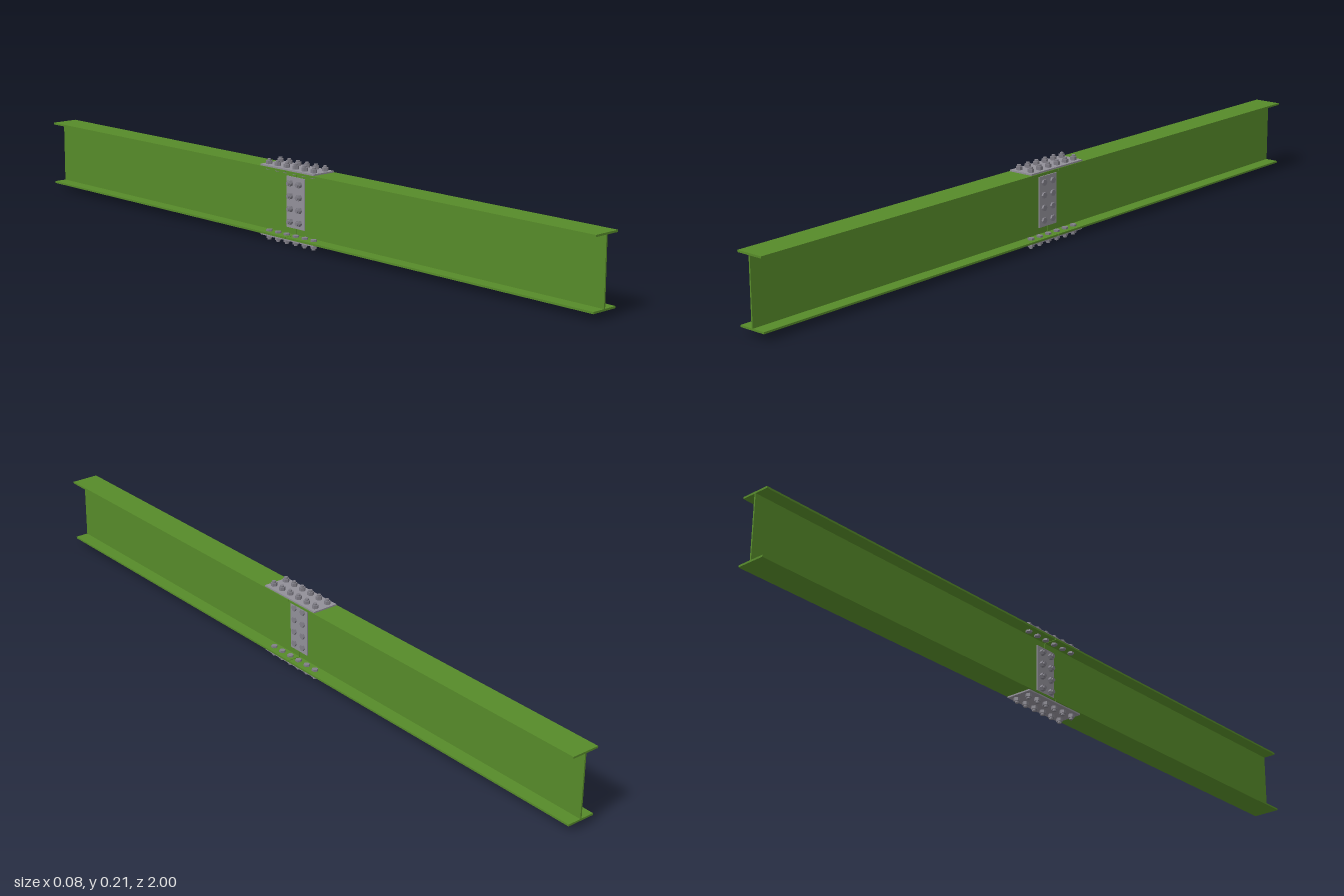
import * as THREE from 'three';

const green = new THREE.MeshStandardMaterial({ color: 0x568a29 });
const plateGrey = new THREE.MeshStandardMaterial({ color: 0x918f98 });
const boltGrey = new THREE.MeshStandardMaterial({ color: 0x807e87, flatShading: true });

const MID = 0.1065;      // height of the beam axis
const FLANGE_OUT = 0.089; // axis to outer flange face
const FLANGE_T = 0.005;
const FLANGE_W = 0.077;
const WEB_T = 0.004;
const PLATE_T = 0.004;
const GAP = 0.002;       // joint between the two beams
const PITCH = 0.0335;    // bolt spacing

function box(name, w, h, d, x, y, z, material) {
  const mesh = new THREE.Mesh(new THREE.BoxGeometry(w, h, d), material);
  mesh.name = name;
  mesh.position.set(x, y, z);
  return mesh;
}

// I-section extruded along z
function beam(name, z0, z1) {
  const w = FLANGE_W / 2, o = FLANGE_OUT, i = o - FLANGE_T, t = WEB_T / 2;
  const points = [
    [-w, -o], [w, -o], [w, -i], [t, -i], [t, i], [w, i],
    [w, o], [-w, o], [-w, i], [-t, i], [-t, -i], [-w, -i],
  ].map(([x, y]) => new THREE.Vector2(x, y));
  const geometry = new THREE.ExtrudeGeometry(new THREE.Shape(points), {
    depth: z1 - z0, bevelEnabled: false,
  });
  const mesh = new THREE.Mesh(geometry, green);
  mesh.name = name;
  mesh.position.z = z0;
  return mesh;
}

// Bolt along y: nut and threaded tip above y = 0, head below the clamped grip
function bolt(name, grip) {
  const group = new THREE.Group();
  group.name = name;
  const part = (label, r, sides, y0, y1) => {
    const mesh = new THREE.Mesh(new THREE.CylinderGeometry(r, r, y1 - y0, sides), boltGrey);
    mesh.name = label;
    mesh.position.y = (y0 + y1) / 2;
    group.add(mesh);
  };
  part('nut', 0.0085, 6, 0, 0.009);
  part('shank', 0.005, 16, -grip, 0.0135);
  part('head', 0.0085, 6, -grip - 0.005, -grip);
  return group;
}

// Cover plate over a flange with two rows of six bolts
function flangeSplice(name) {
  const group = new THREE.Group();
  group.name = name;
  group.add(box('flangePlate', 0.072, PLATE_T, 0.2, 0, FLANGE_OUT + PLATE_T / 2, 0, plateGrey));
  for (const x of [-0.0195, 0.0195]) {
    for (let i = 0; i < 6; i++) {
      const b = bolt('flangeBolt', FLANGE_T + PLATE_T);
      b.position.set(x, FLANGE_OUT + PLATE_T, (i - 2.5) * PITCH);
      group.add(b);
    }
  }
  return group;
}

// Plates on both sides of the web with two columns of four bolts
function webSplice() {
  const group = new THREE.Group();
  group.name = 'webSplice';
  const t = 0.003, outer = WEB_T / 2 + t;
  for (const side of [-1, 1]) {
    group.add(box('webPlate', t, 0.134, 0.067, side * (outer - t / 2), 0, 0, plateGrey));
  }
  for (const z of [-PITCH / 2, PITCH / 2]) {
    for (let i = 0; i < 4; i++) {
      const b = bolt('webBolt', 2 * outer);
      b.rotation.z = Math.PI / 2; // nut faces -x
      b.position.set(-outer, (i - 1.5) * PITCH, z);
      group.add(b);
    }
  }
  return group;
}

export function createModel() {
  const model = new THREE.Group();
  model.name = 'splicedBeam';
  const assembly = new THREE.Group();
  assembly.name = 'assembly';
  assembly.position.y = MID;

  const bottom = flangeSplice('bottomFlangeSplice');
  bottom.rotation.z = Math.PI;
  assembly.add(
    beam('frontBeam', GAP / 2, 1),
    beam('backBeam', -1, -GAP / 2),
    flangeSplice('topFlangeSplice'),
    bottom,
    webSplice(),
  );
  model.add(assembly);
  return model;
}
